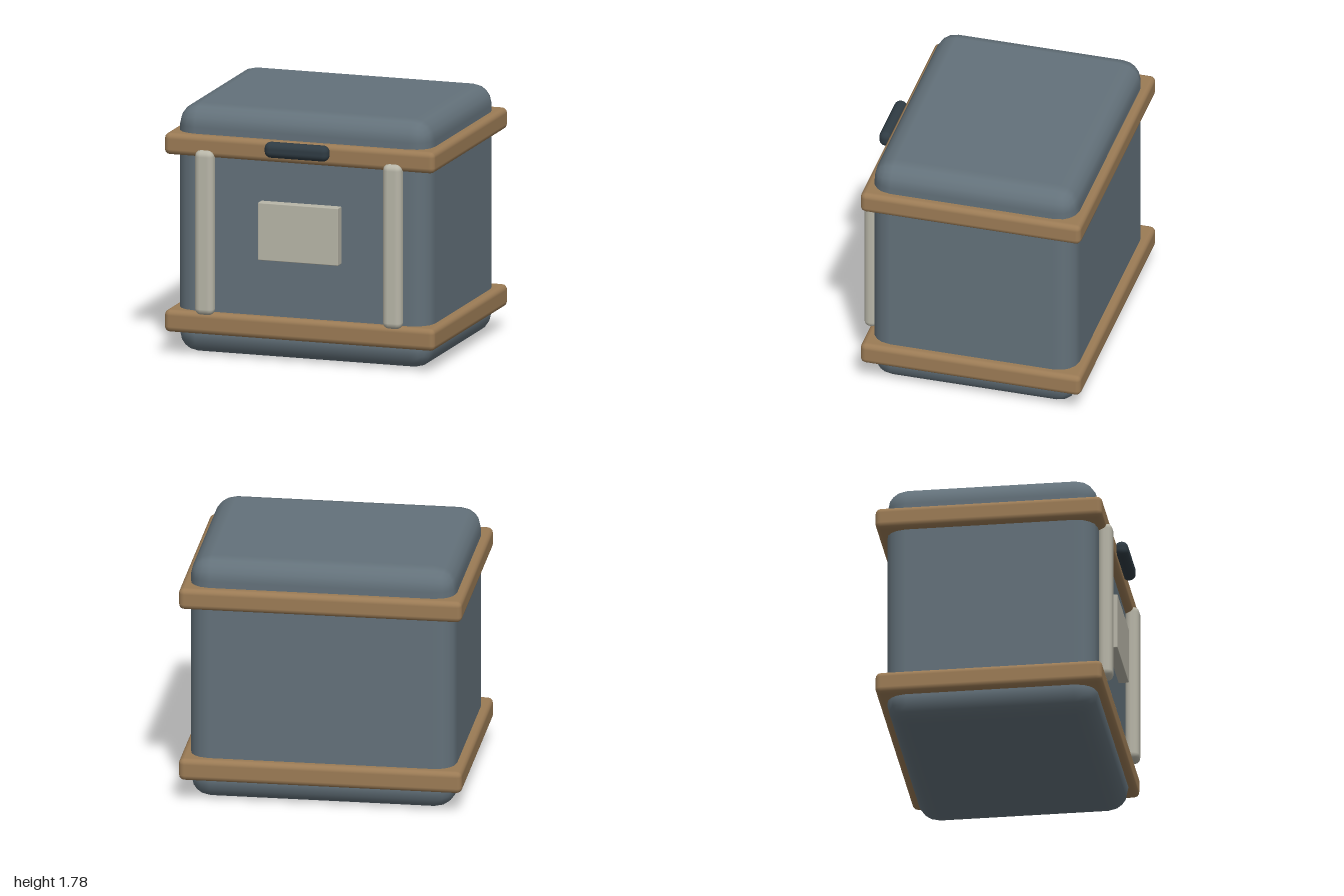
import * as THREE from 'three';
import { RoundedBoxGeometry } from 'three/addons/geometries/RoundedBoxGeometry.js';

const paint = (color) => new THREE.MeshStandardMaterial({ color });

export function createModel() {
  const model = new THREE.Group();
  const shell = paint(0x63717a), wood = paint(0x9b7b55);
  const pale = paint(0xb8b6a8), dark = paint(0x2f3b43);

  // Rounded block given by its min and max corners
  function block(name, min, max, radius, material, segments = 2) {
    const a = new THREE.Vector3(...min), b = new THREE.Vector3(...max);
    const size = b.clone().sub(a);
    const mesh = new THREE.Mesh(
      new RoundedBoxGeometry(size.x, size.y, size.z, segments, radius), material);
    mesh.position.copy(a).add(b).multiplyScalar(0.5);
    mesh.name = name;
    model.add(mesh);
  }

  // Main case with soft edges
  block('body', [-0.94, 0, -0.78], [0.94, 1.78, 0.705], 0.15, shell);

  // Bands around the bottom and top
  block('lowerBand', [-1, 0.16, -0.84], [1, 0.32, 0.76], 0.04, wood);
  block('upperBand', [-1, 1.43, -0.84], [1, 1.585, 0.76], 0.04, wood);

  // Upright rails on the front
  for (const [name, x] of [['leftRail', 0.695], ['rightRail', -0.695]]) {
    block(name, [x - 0.07, 0.305, 0.7], [x + 0.07, 1.485, 0.8], 0.045, pale);
  }

  // Front plate
  block('plate', [-0.297, 0.73, 0.7], [0.297, 1.142, 0.777], 0.006, pale, 1);

  // Handle on the upper band
  block('handle', [-0.237, 1.475, 0.745], [0.237, 1.588, 0.838], 0.045, dark, 3);

  return model;
}
